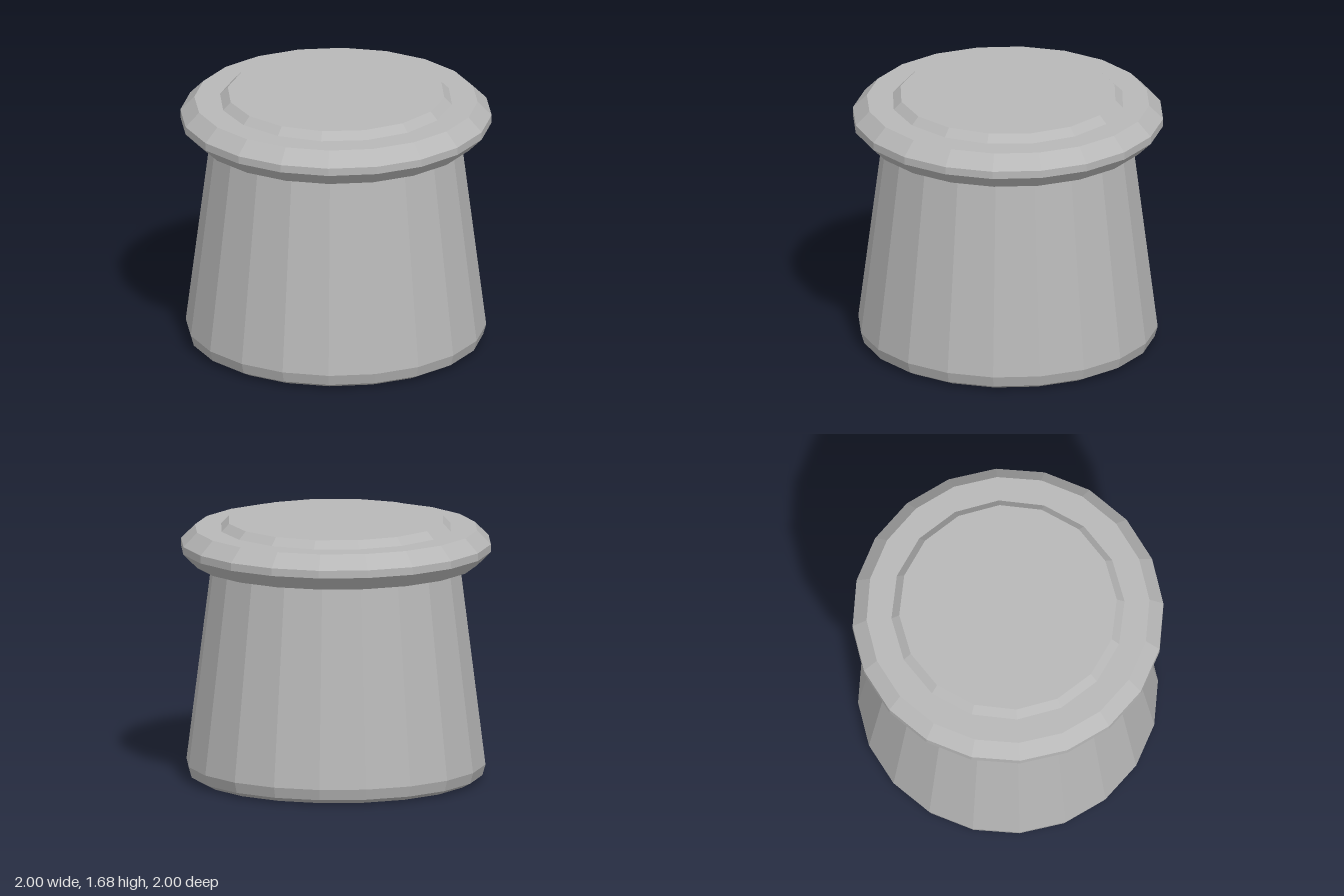
import * as THREE from 'three';

export function createModel() {
  const model = new THREE.Group();
  model.name = 'liddedPot';

  const grey = new THREE.MeshStandardMaterial({ color: 0xb8b8b8, flatShading: true });
  grey.name = 'plain grey';

  // Revolve a closed [radius, height] profile, listed from bottom to top
  const turn = (name, sides, profile) => {
    const points = profile.map(([r, y]) => new THREE.Vector2(r, y));
    const mesh = new THREE.Mesh(new THREE.LatheGeometry(points, sides), grey);
    mesh.name = name;
    model.add(mesh);
  };

  // Tapered body with a rounded foot
  turn('body', 20, [[0, 0], [0.89, 0], [0.945, 0.03], [0.965, 0.1], [0.8, 1.41], [0, 1.41]]);

  // Wide lid with bevelled rim
  turn('lidRim', 20, [[0, 1.4], [0.91, 1.4], [1, 1.49], [1, 1.54], [0.91, 1.63], [0, 1.63]]);

  // Raised disc on the lid, with fewer sides
  turn('lidTop', 16, [[0, 1.62], [0.75, 1.62], [0.75, 1.63], [0.7, 1.68], [0, 1.68]]);

  return model;
}
